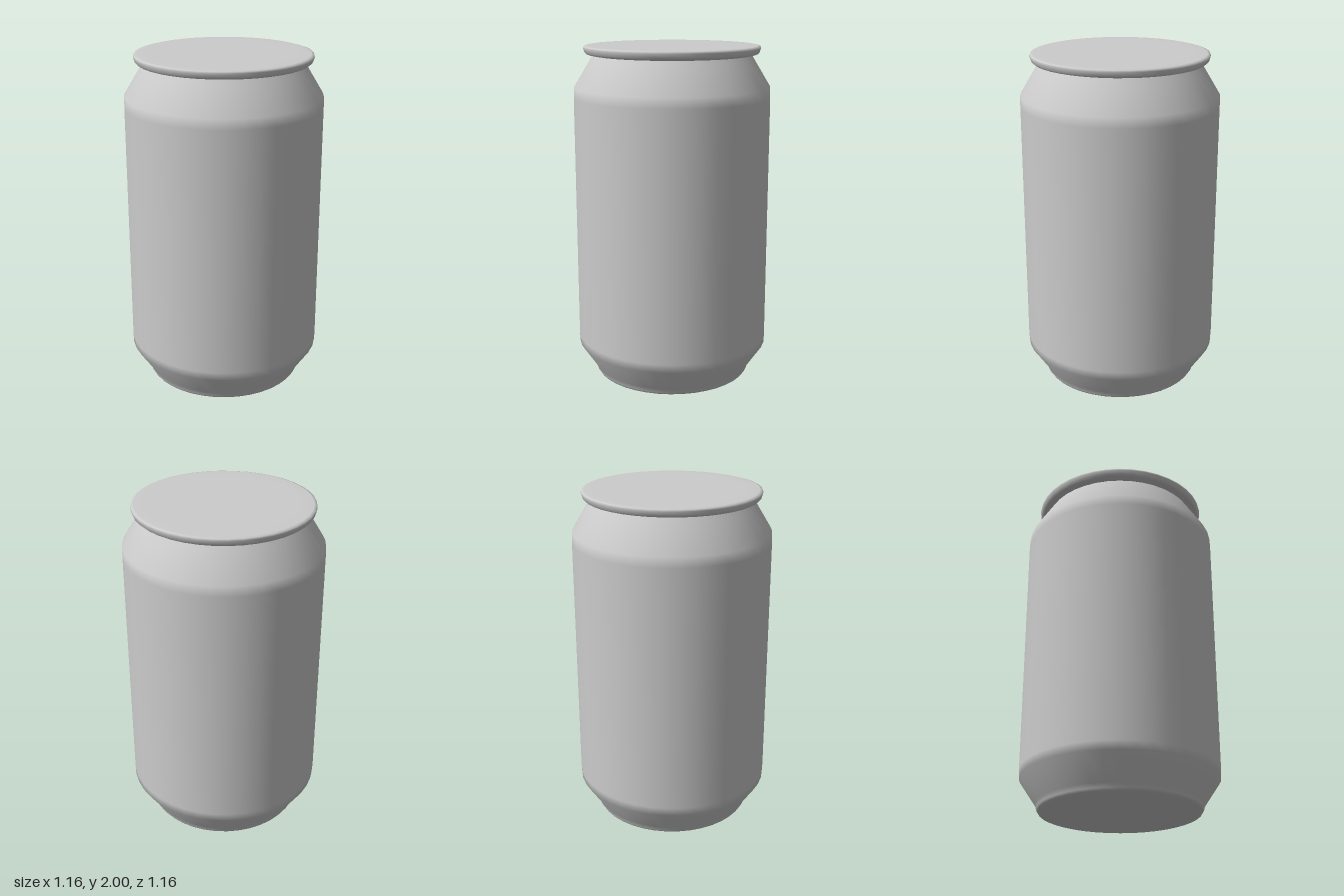
import * as THREE from 'three';

const SEGMENTS = 40;
const material = new THREE.MeshStandardMaterial({ color: 0xcccccc });

// Smooth turned part from [radius, height] pairs, bottom to top
function turned(name, profile) {
  const points = profile.map(([r, y]) => new THREE.Vector2(r, y));
  const mesh = new THREE.Mesh(new THREE.LatheGeometry(points, SEGMENTS), material);
  mesh.name = name;
  return mesh;
}

export function createModel() {
  const group = new THREE.Group();
  group.name = 'can';

  // Body: flat base, short foot, lower taper, straight wall, shoulder
  group.add(turned('body', [
    [0, 0], [0.42, 0], [0.465, 0.006], [0.474, 0.02], [0.48, 0.045],
    [0.577, 0.19], [0.579, 0.24], [0.579, 1.7], [0.577, 1.76],
    [0.48, 1.92], [0.465, 1.945],
  ]));

  // Lid: flared rim rolling over into a flat closed top
  group.add(turned('lid', [
    [0.465, 1.945], [0.5, 1.952], [0.511, 1.962], [0.518, 1.985],
    [0.515, 1.996], [0.5, 2], [0.43, 2], [0, 2],
  ]));

  return group;
}
